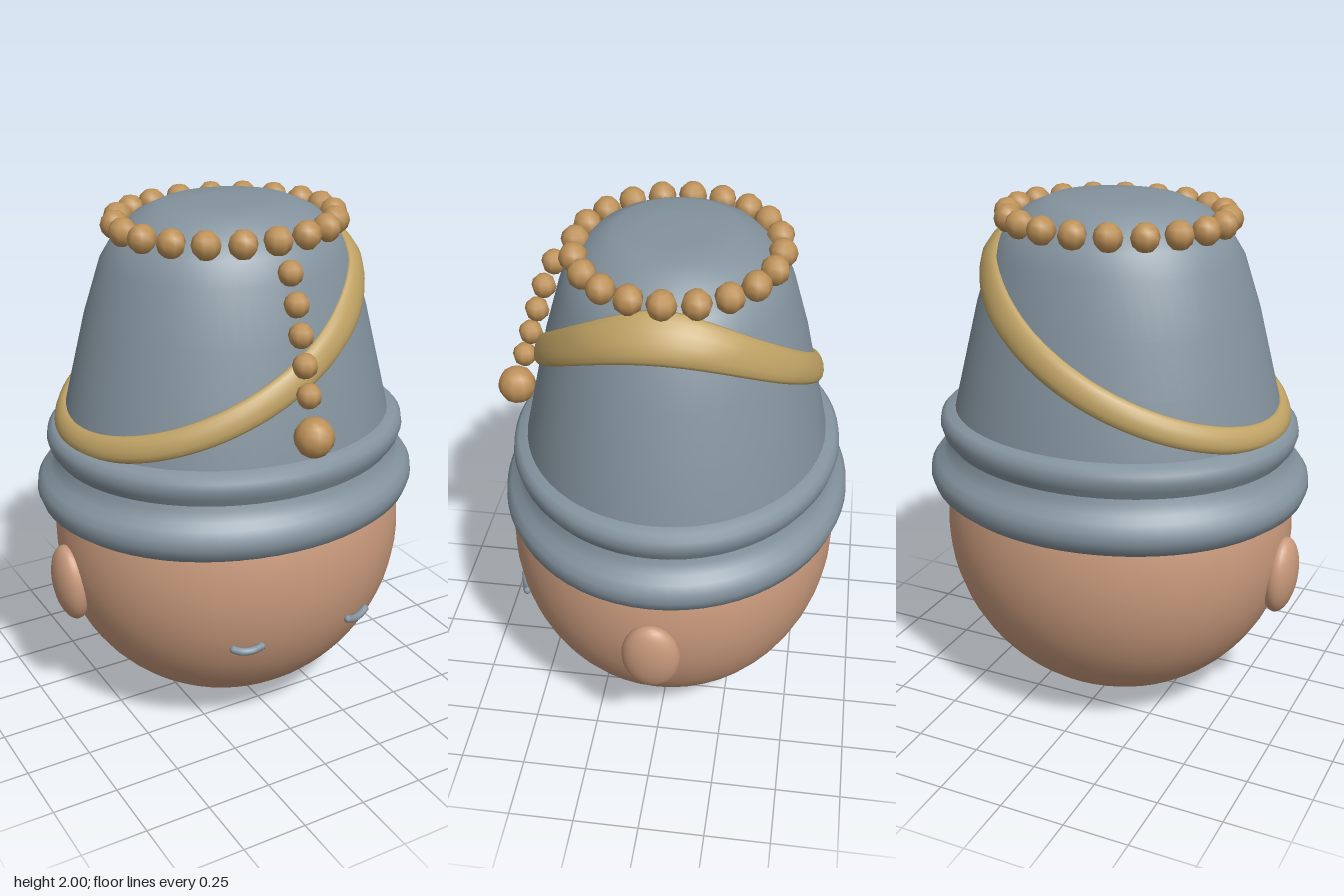
import * as THREE from 'three';
import { mergeVertices } from 'three/addons/utils/BufferGeometryUtils.js';

const paint = (name, color) => {
  const m = new THREE.MeshStandardMaterial({ color });
  m.name = name;
  return m;
};

// Hat profile: radius, height
const HAT = [[0.65, 1.1], [0.64, 1.2], [0.59, 1.4], [0.54, 1.6], [0.475, 1.8],
  [0.425, 1.88], [0.345, 1.955], [0.25, 1.997], [0.12, 2.0], [0, 2.0]];
const DEPTH = 0.885; // the hat is an ellipse in plan
const HAT_Z = -0.012;

function hatRadius(y) {
  for (let i = 1; i < HAT.length; i++) {
    const [r0, y0] = HAT[i - 1], [r1, y1] = HAT[i];
    if (y <= y1) return r0 + (r1 - r0) * (y - y0) / (y1 - y0);
  }
  return 0;
}

export function createModel() {
  const model = new THREE.Group();
  const skin = paint('skin', 0xc99a7c);
  const felt = paint('grey felt', 0x84939e);
  const gold = paint('gold band', 0xbfa264);
  const bead = paint('bead gold', 0xbd9158);
  const dark = paint('dark opening', 0x1c1812);

  const add = (name, geometry, material, x = 0, y = 0, z = 0, parent = model) => {
    const mesh = new THREE.Mesh(geometry, material);
    mesh.name = name;
    mesh.position.set(x, y, z);
    parent.add(mesh);
    return mesh;
  };

  // Head
  add('head', new THREE.SphereGeometry(1, 48, 32), skin, 0, 0.72, 0).scale.set(0.69, 0.69, 0.637);

  // Dark patch under the head, with a small knob in the middle
  add('neckPatch', new THREE.SphereGeometry(1, 32, 6, 0, Math.PI * 2, Math.PI - 0.26, 0.26), dark, 0, 0.72, 0)
    .scale.set(0.694, 0.694, 0.641);
  add('neckKnob', new THREE.SphereGeometry(1, 16, 12), skin, 0, 0.06, 0).scale.set(0.07, 0.055, 0.07);

  // Ears and closed eyes, mirrored
  for (const s of [1, -1]) {
    const side = s > 0 ? 'left' : 'right';
    const ear = add(side + 'Ear', new THREE.SphereGeometry(1, 24, 16), skin, s * 0.685, 0.61, -0.008);
    ear.scale.set(0.063, 0.155, 0.11);
    ear.rotation.z = -s * 0.08;

    const lid = new THREE.CatmullRomCurve3([-0.05, -0.025, 0, 0.025, 0.05].map((d) =>
      new THREE.Vector3(s * (0.24 + d), 0.485 + 6 * d * d, 0.572 - 0.3 * d)));
    const eye = new THREE.Group();
    eye.name = side + 'Eye';
    model.add(eye);
    add('eyelid', new THREE.TubeGeometry(lid, 12, 0.015, 8), felt, 0, 0, 0, eye);
    for (const t of [0, 1]) {
      const p = lid.getPoint(t);
      add('eyelidEnd', new THREE.SphereGeometry(0.015, 8, 6), felt, p.x, p.y, p.z, eye);
    }
  }

  // Hat crown and its two rolled brims
  const hat = new THREE.Group();
  hat.name = 'hat';
  hat.position.z = HAT_Z;
  hat.scale.z = DEPTH;
  model.add(hat);
  const lathe = (name, profile) =>
    add(name, new THREE.LatheGeometry(profile.map(([r, y]) => new THREE.Vector2(r, y)), 64), felt, 0, 0, 0, hat);
  lathe('crown', HAT);
  lathe('upperRoll', [[0.655, 1.03], [0.67, 1.07], [0.692, 1.1], [0.703, 1.135],
    [0.698, 1.165], [0.678, 1.185], [0.63, 1.195]]);
  lathe('lowerRoll', [[0.62, 0.875], [0.67, 0.86], [0.7, 0.863], [0.735, 0.89], [0.75, 0.93],
    [0.746, 0.965], [0.725, 0.995], [0.695, 1.015], [0.675, 1.05], [0.665, 1.09]]);

  // Slanted band: a ring bent to follow the crown
  const band = new THREE.TorusGeometry(1, 0.1, 14, 96);
  const pos = band.attributes.position, uv = band.attributes.uv;
  for (let i = 0; i < pos.count; i++) {
    const u = uv.getX(i) * Math.PI * 2, v = uv.getY(i) * Math.PI * 2;
    const c = Math.cos(u);
    const y = 1.5 + 0.31 * c + 0.02 * Math.cos(2 * u) + (0.062 + 0.016 * c) * Math.sin(v);
    const r = hatRadius(y) + 0.003 + 0.03 * Math.cos(v);
    pos.setXYZ(i, r * c, y, -r * Math.sin(u) * DEPTH + HAT_Z);
  }
  band.deleteAttribute('uv');
  band.deleteAttribute('normal');
  const bandGeometry = mergeVertices(band, 1e-4);
  bandGeometry.computeVertexNormals();
  add('slantedBand', bandGeometry, gold);

  // Ring of beads around the top
  const beads = new THREE.Group();
  beads.name = 'beadRing';
  model.add(beads);
  const ringBead = new THREE.SphereGeometry(0.053, 8, 6);
  for (let i = 0; i < 20; i++) {
    const a = i / 20 * Math.PI * 2;
    add('ringBead', ringBead, bead, 0.412 * Math.cos(a), 1.932, -0.015 + 0.365 * Math.sin(a), beads).rotation.y = -a;
  }

  // Hanging strand down the front, ending in a larger bead
  const strand = new THREE.Group();
  strand.name = 'beadStrand';
  model.add(strand);
  const smallBead = new THREE.SphereGeometry(0.046, 8, 6);
  [[1.84, 0.432], [1.74, 0.475], [1.64, 0.507], [1.54, 0.537], [1.44, 0.567]].forEach(([y, z]) =>
    add('strandBead', smallBead, bead, 0, y, z, strand));
  add('endBead', new THREE.SphereGeometry(0.073, 10, 8), bead, 0, 1.3, 0.607, strand);

  return model;
}
